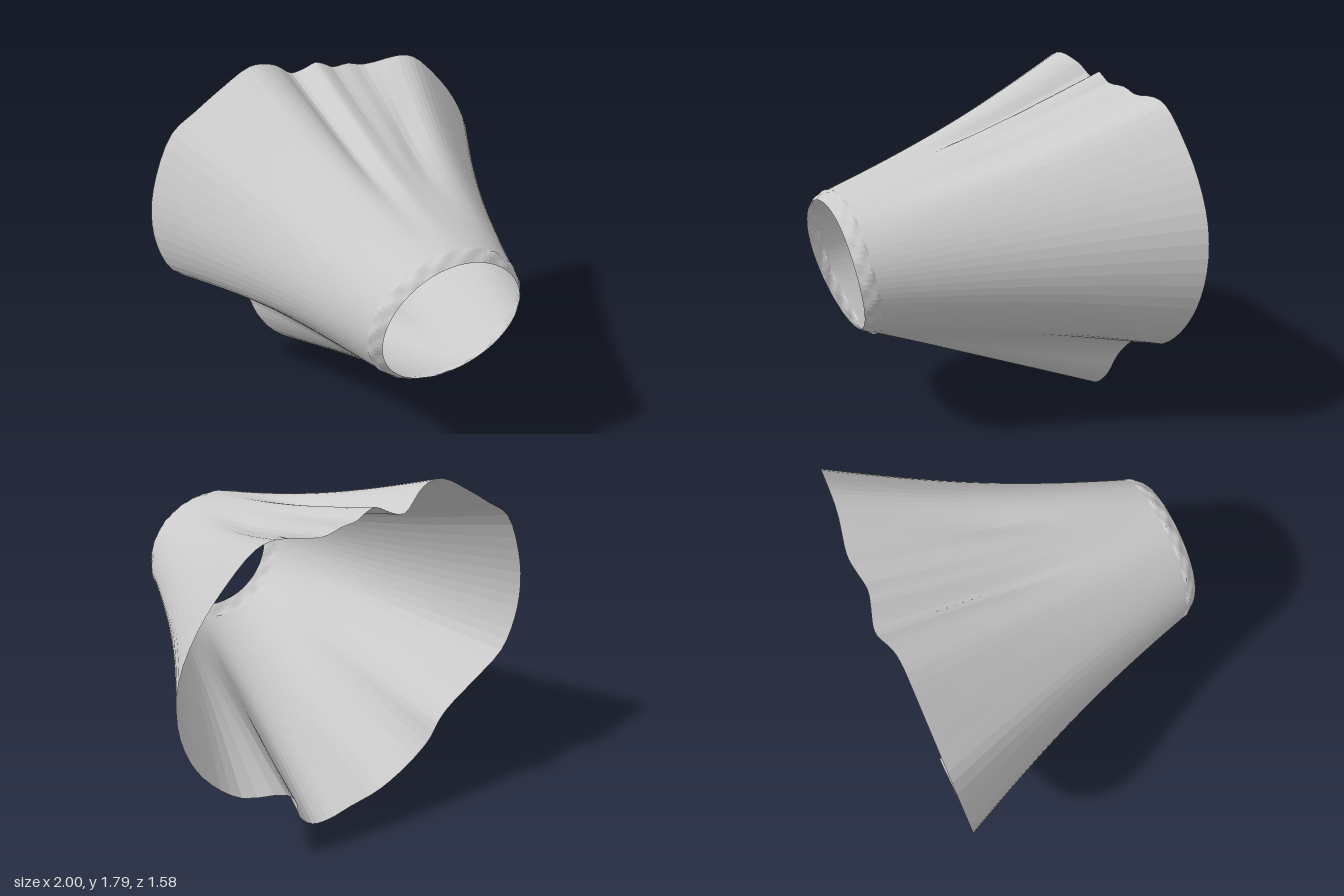
import * as THREE from 'three';

const CX = -0.02, CY = 0.927;         // axis of the waist opening
const COLS = 114;                     // three columns per hem point

// Wavy hem outline (x, y), counter-clockwise from the left side
const HEM = [
  [1, 0.98], [0.98, 1.2], [0.88, 1.41], [0.74, 1.58], [0.6, 1.7], [0.5, 1.72], [0.3, 1.69],
  [0.2, 1.71], [0.1, 1.71], [0.06, 1.73], [0, 1.75], [-0.06, 1.72], [-0.13, 1.7], [-0.22, 1.76],
  [-0.3, 1.79], [-0.39, 1.79], [-0.55, 1.7], [-0.7, 1.6], [-0.84, 1.5], [-0.95, 1.28], [-1, 1.07],
  [-0.99, 0.87], [-0.92, 0.7], [-0.72, 0.57], [-0.55, 0.47], [-0.49, 0.4], [-0.45, 0.28],
  [-0.36, 0.15], [-0.2, 0.05], [0, 0.02], [0.14, 0], [0.24, 0.02], [0.33, 0.12], [0.37, 0.25],
  [0.45, 0.36], [0.7, 0.46], [0.85, 0.6], [0.95, 0.77],
];
const hemCurve = new THREE.CatmullRomCurve3(
  HEM.map(([x, y]) => new THREE.Vector3(x, y, 0)), true, 'centripetal');

const bump = (v, centre, width) => Math.exp(-(((v - centre) / width) ** 2));

// Hem point: level at the back, pulled forward at the bottom, drooping at the top pleat
function hemPoint(u) {
  const p = hemCurve.getPoint(u);
  p.z = -0.735 - 0.015 * bump(p.y, 0.42, 0.15)
    + 0.065 * THREE.MathUtils.smoothstep(0.4 - p.y, 0, 0.4);
  if (p.y > 1.5) p.z -= 0.055 * bump(p.x, -0.13, 0.12) + 0.04 * bump(p.x, 0.25, 0.16);
  return p;
}

// How far the hem waves in or out from its own local average
function hemWave(u) {
  const mean = new THREE.Vector3();
  for (let k = -4; k <= 4; k++) mean.addScaledVector(hemCurve.getPoint((u + k * 0.012 + 1) % 1), 1 / 9);
  return hemCurve.getPoint(u).sub(mean);
}

// Point on the tilted oval waist, grown by `grow` and set back by `back`
function waistPoint(angle, grow, back) {
  const y = CY + (0.327 + grow) * Math.sin(angle);
  const k = THREE.MathUtils.clamp((y - 0.59) / 0.67, 0, 1);
  return new THREE.Vector3(CX + (0.37 + grow) * Math.cos(angle), y,
    0.69 + 0.1 * Math.sin(k * Math.PI / 2) - back);
}

const angleAt = (u) => {
  const p = hemCurve.getPoint(u);
  return Math.atan2(p.y - CY, p.x - CX);
};

// Closed tube of rings, from the front ring to the back ring
function loft(rows, pointAt) {
  const pos = [], index = [];
  for (let j = 0; j <= rows; j++) {
    for (let i = 0; i < COLS; i++) pos.push(...pointAt(i / COLS, j / rows).toArray());
  }
  for (let j = 0; j < rows; j++) {
    for (let i = 0; i < COLS; i++) {
      const a = j * COLS + i, b = j * COLS + (i + 1) % COLS;
      index.push(a, a + COLS, b, b, a + COLS, b + COLS);
    }
  }
  const g = new THREE.BufferGeometry();
  g.setAttribute('position', new THREE.Float32BufferAttribute(pos, 3));
  g.setIndex(index);
  g.computeVertexNormals();
  return g;
}

// Gathered waistband: rounds over from the opening, with small puckers
function bandPoint(u, t) {
  const a = angleAt(u);
  const pucker = 0.005 * Math.sin(t * Math.PI * 2) * Math.sin(18 * a);
  return waistPoint(a, 0.042 * Math.sin(t * Math.PI / 2) + pucker, 0.075 * t);
}

// Flared cloth: waist to hem, slightly sagging, its waves growing towards the hem
function skirtPoint(u, t) {
  const a = angleAt(u);
  const p = bandPoint(u, 1).lerp(hemPoint(u), t);
  p.addScaledVector(hemWave(u), t ** 1.7 - t);
  const belly = Math.sin(Math.PI * t);
  let inward = belly * 0.03 * Math.abs(Math.cos(a));
  if (a > 0) {
    const late = belly * THREE.MathUtils.smoothstep(t, 0.15, 0.6);
    inward += belly * 0.02 * Math.sin(a)
      + late * (0.02 * bump(p.x, -0.12, 0.06) + 0.02 * bump(p.x, 0.05 + 0.4 * t, 0.08));
  } else {
    inward += belly * 0.015 * Math.sin(a);
  }
  p.x -= Math.cos(a) * inward;
  p.y -= Math.sin(a) * inward;
  return p;
}

export function createModel() {
  const group = new THREE.Group();
  group.name = 'skirt';
  const cloth = new THREE.MeshStandardMaterial({
    color: 0xcccccc, side: THREE.DoubleSide, flatShading: true,
  });
  const add = (name, geometry) => {
    const mesh = new THREE.Mesh(geometry, cloth);
    mesh.name = name;
    group.add(mesh);
  };
  add('waistband', loft(6, bandPoint));
  add('flaredCloth', loft(36, skirtPoint));
  return group;
}
